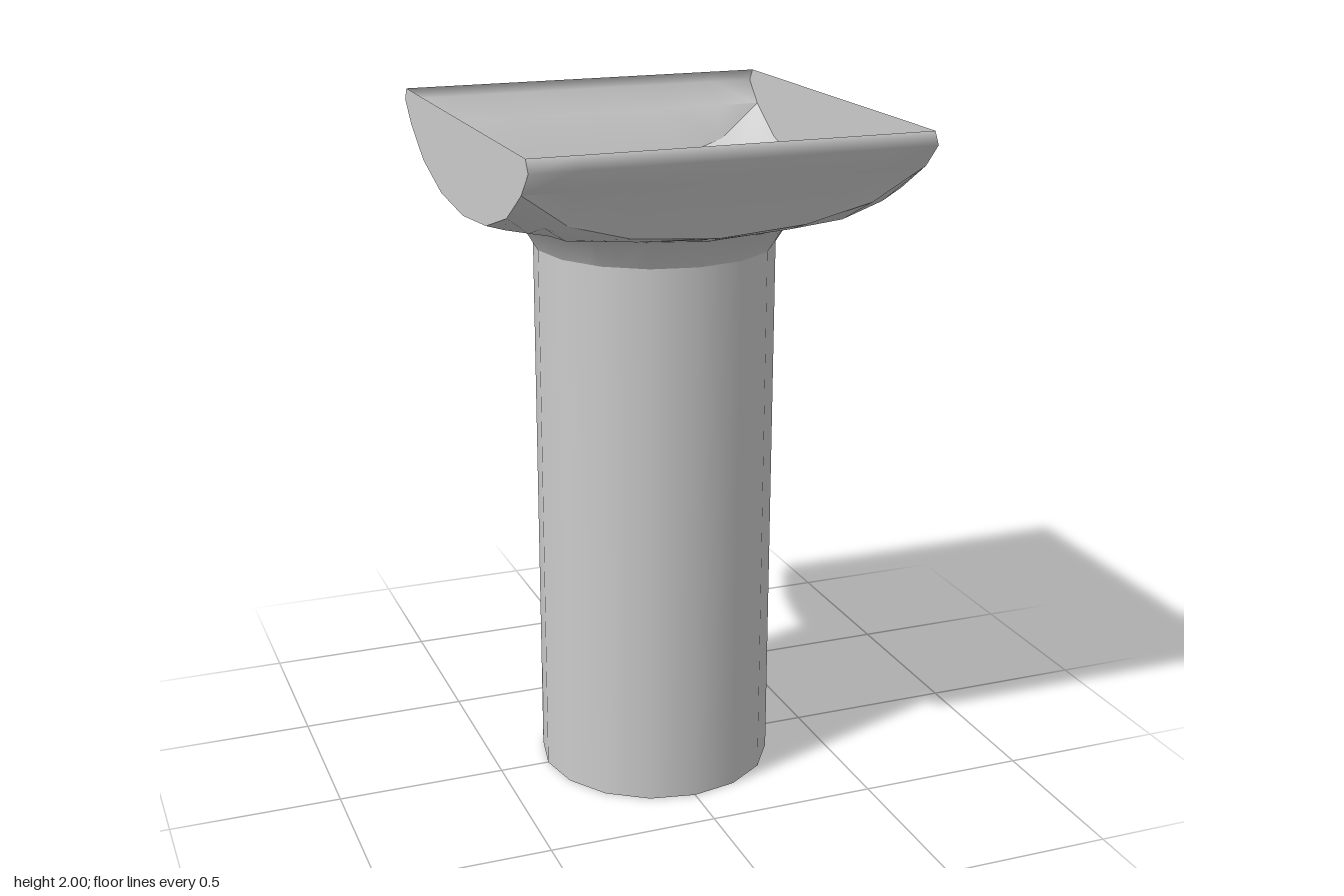
import * as THREE from 'three';

const material = new THREE.MeshStandardMaterial({ color: 0xcccccc, side: THREE.DoubleSide });
const SIDES = 16, RADIUS = 0.35, NECK_Y = 1.62;

// Quarter of the edge where the flare meets the four rim panels: angle, x, y, z
const EDGE = [
  [0, 0.565, 1.735, 0], [22.5, 0.565, 1.755, 0.234], [37.3, 0.565, 1.815, 0.43],
  [45, 0.565, 1.9, 0.565],
  [52.7, 0.43, 1.803, 0.525], [67.5, 0.25, 1.75, 0.495], [90, 0, 1.73, 0.49],
];
// Flare height by radius
const FLARE = [[0.35, 1.62], [0.4, 1.7], [0.49, 1.73], [0.565, 1.735], [0.61, 1.755], [0.71, 1.81], [0.8, 1.9]];

function flareY(r) {
  const i = Math.max(1, FLARE.findIndex((p) => p[0] >= r));
  const [a, b] = [FLARE[i - 1], FLARE[i]];
  return THREE.MathUtils.mapLinear(r, a[0], b[0], a[1], b[1]);
}

// Smooth surface through rows of points, optionally closed into a ring
function loft(rows, closed) {
  const n = rows[0].length, index = [];
  for (let j = 0; j < rows.length - 1; j++) {
    for (let i = 0; i < (closed ? n : n - 1); i++) {
      const k = (i + 1) % n;
      const a = j * n + i, b = j * n + k, c = a + n, d = b + n;
      index.push(a, c, b, b, c, d);
    }
  }
  const geometry = new THREE.BufferGeometry();
  geometry.setAttribute('position', new THREE.Float32BufferAttribute(rows.flat(2), 3));
  geometry.setIndex(index);
  geometry.computeVertexNormals();
  return geometry;
}

// Whole edge ring, mirrored from the quarter
function fullEdge() {
  const ring = [];
  const half = [...EDGE, ...EDGE.slice(0, -1).reverse().map(([a, x, y, z]) => [180 - a, -x, y, z])];
  ring.push(...half, ...half.slice(1, -1).reverse().map(([a, x, y, z]) => [360 - a, x, y, -z]));
  return ring;
}

// Distance to the side of the regular polygon at an angle
function polygonRadius(radius, angle) {
  const step = (2 * Math.PI) / SIDES;
  return radius * Math.cos(step / 2) / Math.cos((angle % step) - step / 2);
}

export function createModel() {
  const group = new THREE.Group();
  const add = (name, geometry) => {
    const mesh = new THREE.Mesh(geometry, material);
    mesh.name = name;
    group.add(mesh);
    return mesh;
  };

  // Hollow shaft with a closed foot
  const shaft = add('shaft', new THREE.CylinderGeometry(RADIUS, RADIUS, NECK_Y, SIDES, 1, true));
  shaft.position.y = NECK_Y / 2;
  add('shaftBase', new THREE.CircleGeometry(RADIUS, SIDES).rotateX(Math.PI / 2));

  // Flare from the round neck to the rectangular bowl
  const edge = fullEdge();
  const circle = (radius, y) => edge.map(([deg]) => {
    const a = THREE.MathUtils.degToRad(deg), r = polygonRadius(radius, a);
    return [r * Math.cos(a), y, r * Math.sin(a)];
  });
  const collar = circle(0.4, 1.7);
  const between = (t) => edge.map(([, x, , z], i) => {
    const px = THREE.MathUtils.lerp(collar[i][0], x, t);
    const pz = THREE.MathUtils.lerp(collar[i][2], z, t);
    return [px, flareY(Math.hypot(px, pz)), pz];
  });
  const rim = edge.map(([, x, y, z]) => [x, y, z]);
  add('flare', loft([circle(RADIUS, NECK_Y), collar, between(0.4), between(0.7), rim], true));

  // Curved front and back panels, turning in at the top
  const frontEdge = rim.slice(3, 10);
  const level = (y, z) => frontEdge.map(([x]) => [x, y, z]);
  const panel = loft([frontEdge, level(1.9, 0.565), level(1.965, 0.628), level(2, 0.607)], false);
  add('frontPanel', panel);
  add('backPanel', panel.clone().rotateY(Math.PI));

  // Flat side panels
  const lower = EDGE.slice(0, 4).map(([, , y, z]) => [z, y]);
  const right = [...lower, [0.628, 1.965], [0.607, 2]];
  const outline = [...right, ...right.slice(1).reverse().map(([u, y]) => [-u, y])];
  const shape = new THREE.Shape(outline.map(([u, y]) => new THREE.Vector2(u, y)));
  for (const [name, side] of [['leftPanel', 1], ['rightPanel', -1]]) {
    add(name, new THREE.ShapeGeometry(shape).translate(0, 0, 0.565).rotateY(side * Math.PI / 2));
  }
  return group;
}
